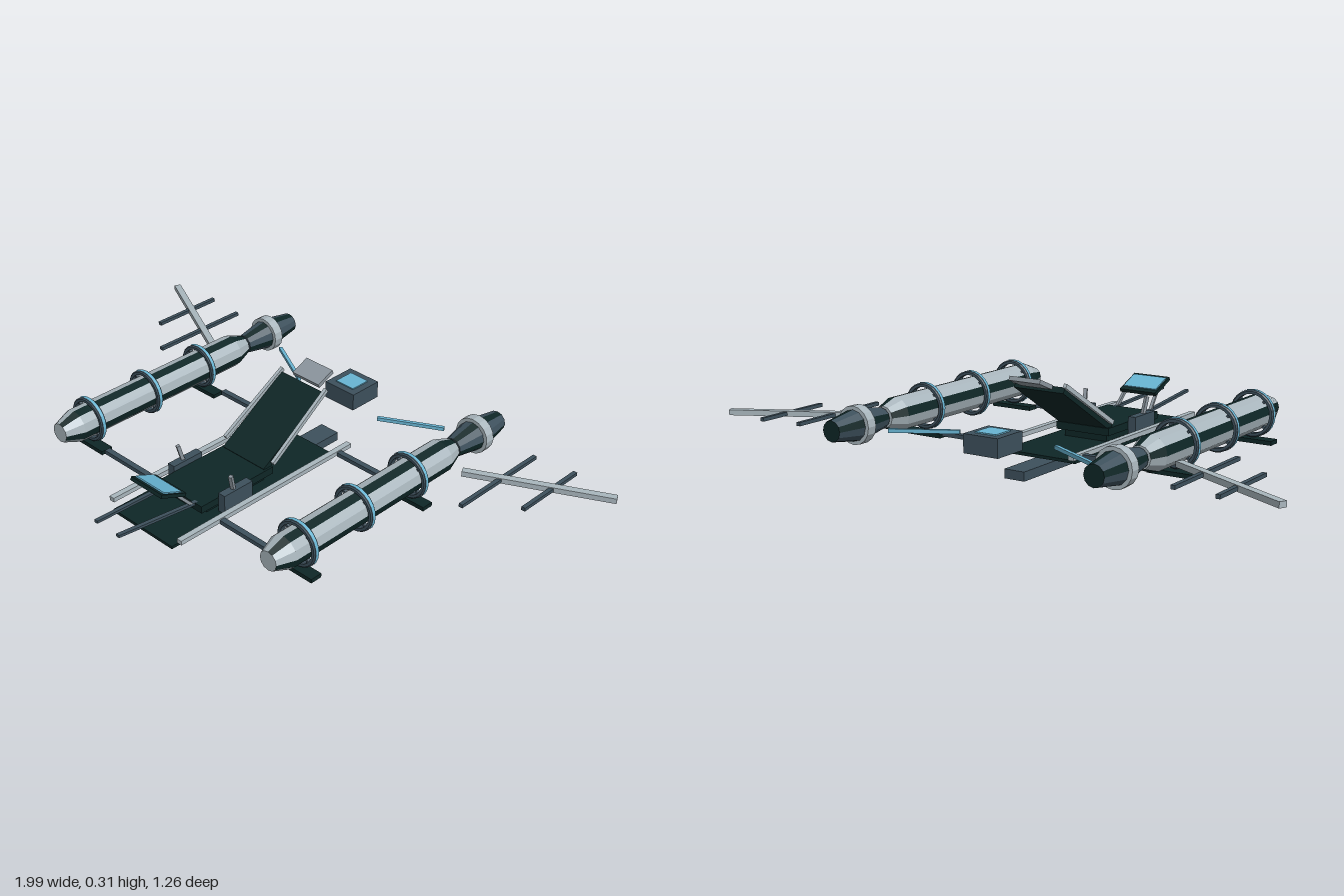
import * as THREE from 'three';

const mat = (name, color, extra = {}) => {
  const m = new THREE.MeshStandardMaterial({ color, flatShading: true, ...extra });
  m.name = name;
  return m;
};

export function createModel() {
  const root = new THREE.Group();
  root.name = 'hoverCraft';
  const black = mat('nearBlack', 0x0e2626);
  const light = mat('lightGrey', 0xa9b6bd);
  const grey = mat('midGrey', 0x8b959d);
  const slate = mat('slate', 0x3d505c);
  const blue = mat('blue', 0x68b4d2);

  const add = (name, geo, m, parent = root) => {
    const mesh = new THREE.Mesh(geo, m);
    mesh.name = name;
    parent.add(mesh);
    return mesh;
  };
  // box given by its min and max corners
  const box = (name, m, x0, x1, y0, y1, z0, z1) => {
    const mesh = add(name, new THREE.BoxGeometry(x1 - x0, y1 - y0, z1 - z0), m);
    mesh.position.set((x0 + x1) / 2, (y0 + y1) / 2, (z0 + z1) / 2);
    return mesh;
  };
  // bar of width w and height h running from a to b
  const bar = (name, m, a, b, w, h) => {
    const p = new THREE.Vector3(...a), q = new THREE.Vector3(...b);
    const mesh = add(name, new THREE.BoxGeometry(w, h, p.distanceTo(q)), m);
    mesh.position.copy(p).add(q).multiplyScalar(0.5);
    mesh.lookAt(q);
    return mesh;
  };
  // lathe about the z axis; profile is [radius, z]
  const lathe = (profile, seg, start = 0, len = Math.PI * 2) =>
    new THREE.LatheGeometry(profile.map(p => new THREE.Vector2(...p)), seg, start, len).rotateX(Math.PI / 2);
  // twelve-sided shell: two plain facets, then one dark facet
  const striped = (name, profile, plain, parent) => {
    const step = Math.PI / 6;
    for (let k = 0; k < 4; k++) {
      add(name + 'Panel', lathe(profile, 2, (3 + 3 * k) * step, 2 * step), plain, parent);
      add(name + 'Stripe', lathe(profile, 1, (2 + 3 * k) * step, step), black, parent);
    }
  };
  const cap = (name, r, z, dir, m, parent) => {
    const c = add(name, new THREE.CircleGeometry(r, 12), m, parent);
    c.position.z = z;
    if (dir < 0) c.rotation.y = Math.PI;
  };

  // Deck, keel and side rails
  box('deck', black, -0.135, 0.135, 0.041, 0.051, -0.215, 0.495);
  box('keel', slate, -0.037, 0.037, 0, 0.03, -0.345, 0.235);

  // Seat, reclined backrest and headrest
  box('seat', black, -0.1, 0.1, 0.075, 0.1, 0.03, 0.34);
  box('seatBase', black, -0.08, 0.08, 0.05, 0.076, 0.05, 0.3);
  bar('backrest', black, [0, 0.095, 0.06], [0, 0.264, -0.21], 0.185, 0.02);
  bar('headrest', grey, [0, 0.272, -0.222], [0, 0.3, -0.288], 0.115, 0.014);

  // Rear equipment box with a lit top
  box('rearBox', slate, -0.063, 0.063, 0.11, 0.17, -0.512, -0.388);
  box('rearBoxPanel', blue, -0.038, 0.038, 0.17, 0.174, -0.487, -0.413);

  // Control screen facing the seat
  bar('screenBack', black, [0, 0.148, 0.375], [0, 0.188, 0.472], 0.14, 0.012);
  bar('screen', blue, [0, 0.161, 0.388], [0, 0.19, 0.457], 0.128, 0.006);

  for (const s of [-1, 1]) {
    box('deckRail', light, s * 0.155 - 0.01, s * 0.155 + 0.01, 0.065, 0.08, -0.268, 0.483);
    bar('backrestRail', light, [s * 0.108, 0.12, 0.04], [s * 0.097, 0.28, -0.213], 0.012, 0.014);

    // Arm consoles and sticks
    box('armConsole', slate, s * 0.115 - 0.014, s * 0.115 + 0.014, 0.051, 0.118, 0.15, 0.27);
    bar('controlStick', grey, [s * 0.115, 0.115, 0.22], [s * 0.12, 0.172, 0.235], 0.012, 0.012);

    // Front prongs and screen posts
    bar('frontProng', slate, [s * 0.075, 0.082, 0.14], [s * 0.05, 0.117, 0.63], 0.014, 0.009);
    bar('screenPost', grey, [s * 0.066, 0.098, 0.35], [s * 0.06, 0.152, 0.4], 0.01, 0.01);

    // Cross beams and pod mounts
    for (const z of [0.315, -0.21]) {
      const [a, b] = [s * 0.165, s * 0.378];
      box('crossBeam', slate, Math.min(a, b), Math.max(a, b), 0.062, 0.076, z - 0.01, z + 0.01);
    }
    for (const z of [0.307, -0.195]) {
      box('podMount', black, s * 0.47 - 0.08, s * 0.47 + 0.08, 0.052, 0.066, z - 0.021, z + 0.021);
    }

    // Diagonal brace
    bar('brace', blue, [s * 0.178, 0.134, -0.38], [s * 0.373, 0.134, -0.487], 0.012, 0.012);

    // Outrigger wing with two cross bars
    bar('wing', light, [s * 0.567, 0.13, -0.336], [s * 0.992, 0.13, -0.553], 0.024, 0.018);
    box('wingBar', slate, s * 0.677 - 0.007, s * 0.677 + 0.007, 0.124, 0.136, -0.565, -0.19);
    box('wingBar', slate, s * 0.82 - 0.007, s * 0.82 + 0.007, 0.124, 0.136, -0.58, -0.31);

    // Engine pod
    const pod = new THREE.Group();
    pod.name = 'enginePod';
    pod.position.set(s * 0.473, 0.146, 0);
    root.add(pod);
    striped('podBody', [[0.036, -0.394], [0.056, -0.335], [0.056, 0.366], [0.033, 0.428]], light, pod);
    cap('podNose', 0.033, 0.428, 1, light, pod);
    cap('podRear', 0.036, -0.394, -1, light, pod);
    striped('nozzle', [[0.034, -0.633], [0.051, -0.53], [0.051, -0.505], [0.033, -0.402]], slate, pod);
    cap('nozzleFront', 0.033, -0.402, 1, slate, pod);
    cap('nozzleEnd', 0.034, -0.633, -1, black, pod);
    add('podNeck', new THREE.CylinderGeometry(0.02, 0.02, 0.02, 12).rotateX(Math.PI / 2), light, pod)
      .position.z = -0.398;
    add('nozzleCollar', lathe([[0.048, -0.535], [0.062, -0.535], [0.062, -0.5], [0.048, -0.5]], 16), light, pod);

    // Pod hoops with a blue band
    for (const z of [0.305, 0.06, -0.185]) {
      add('hoop', lathe([[0.064, 0.011], [0.064, -0.011], [0.073, -0.011], [0.077, -0.007],
        [0.077, 0.007], [0.073, 0.011], [0.064, 0.011]], 24), slate, pod).position.z = z;
      add('hoopBand', lathe([[0.0785, -0.005], [0.0785, 0.005]], 24), blue, pod).position.z = z;
      for (let k = 0; k < 4; k++) {
        const a = Math.PI / 4 + k * Math.PI / 2;
        const pin = add('hoopPin', new THREE.BoxGeometry(0.016, 0.008, 0.012), slate, pod);
        pin.position.set(Math.cos(a) * 0.06, Math.sin(a) * 0.06, z);
        pin.rotation.z = a;
      }
    }
  }
  return root;
}
